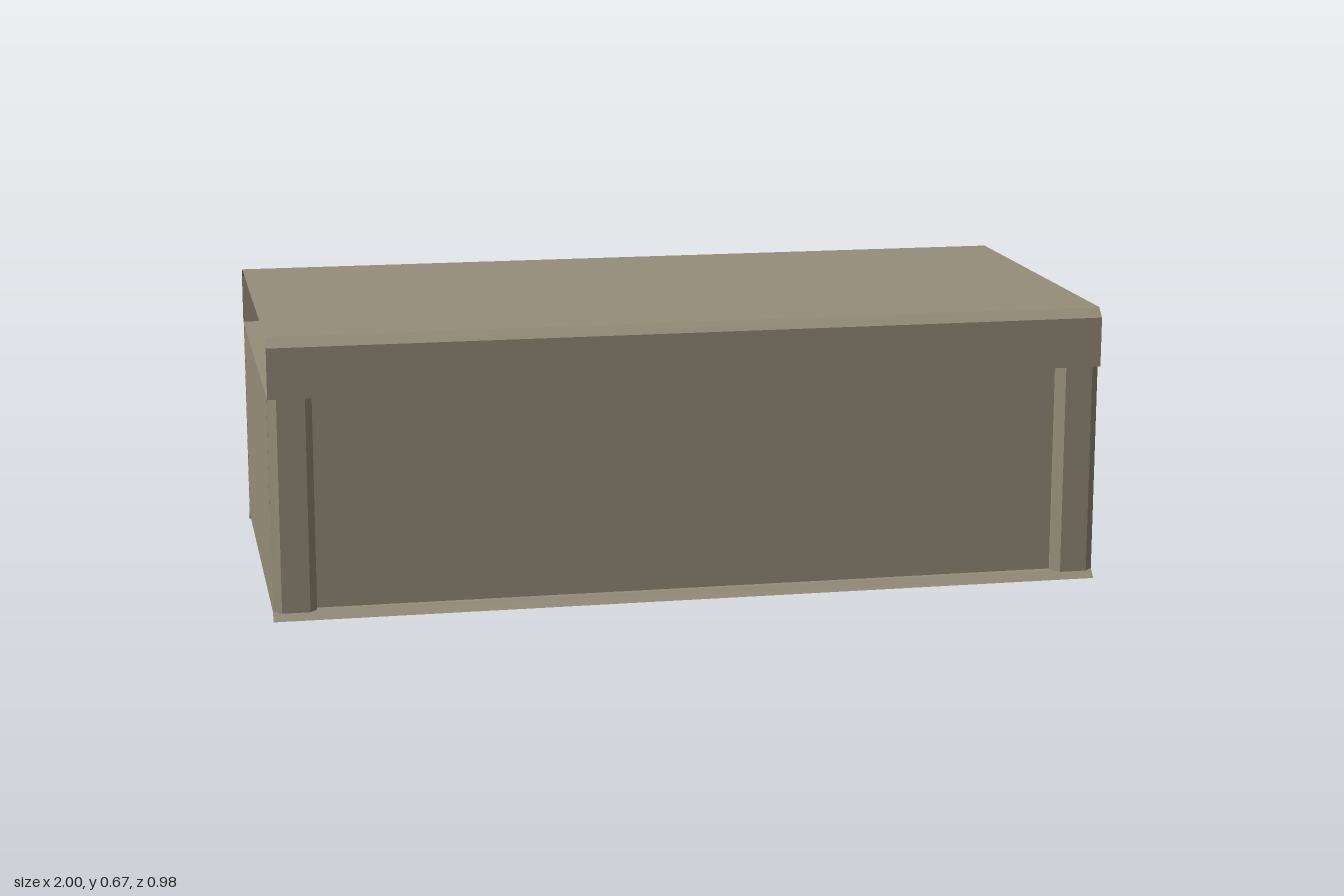
import * as THREE from 'three';

const paint = new THREE.MeshStandardMaterial({ color: 0x968e7a, side: THREE.DoubleSide });
paint.name = 'stone taupe';

// Sheet swept straight between two ends: place(a, b, t) puts a profile point in space.
function sheet(name, profile, t0, t1, place) {
  const pos = [];
  for (let i = 0; i < profile.length - 1; i++) {
    const [a, b] = profile[i];
    const [c, d] = profile[i + 1];
    const p = place(a, b, t0), q = place(c, d, t0);
    const r = place(c, d, t1), s = place(a, b, t1);
    pos.push(...p, ...q, ...r, ...p, ...r, ...s);
  }
  const geo = new THREE.BufferGeometry();
  geo.setAttribute('position', new THREE.Float32BufferAttribute(pos, 3));
  geo.computeVertexNormals();
  const mesh = new THREE.Mesh(geo, paint);
  mesh.name = name;
  return mesh;
}

const alongX = (z, y, x) => [x, y, z];
const alongY = (x, z, y) => [x, y, z];

export function createModel() {
  const group = new THREE.Group();
  group.name = 'block';
  const floorY = 0.02, deckY = 0.53, wallZ = 0.453;

  // Open-ended cap: chamfered roof and fascias, closed below by the deck
  group.add(sheet('cap', [
    [0.488, deckY], [0.488, 0.65], [0.465, 0.672], [-0.465, 0.672],
    [-0.488, 0.65], [-0.488, deckY], [0.488, deckY],
  ], -1, 1, alongX));

  // Floor with flared lips along both long sides
  group.add(sheet('floor', [
    [0.488, 0], [0.468, floorY], [-0.468, floorY], [-0.488, 0],
  ], 1, -1, alongX));

  for (const s of [1, -1]) {
    // Recessed long panels and end walls
    group.add(sheet(s > 0 ? 'frontPanel' : 'backPanel',
      [[-0.897 * s, wallZ * s], [0.897 * s, wallZ * s]], deckY, floorY, alongY));
    group.add(sheet(s > 0 ? 'leftEnd' : 'rightEnd',
      [[s, 0.45 * s], [s, -0.45 * s]], deckY, floorY, alongY));

    // Chamfered corner posts
    for (const e of [1, -1]) {
      group.add(sheet('cornerPost', [
        [0.897, 0.455], [0.897, 0.468], [0.914, 0.488],
        [0.98, 0.488], [1, 0.468], [1, 0.455],
      ].map(([x, z]) => [x * e, z * s]),
      e * s > 0 ? deckY : floorY, e * s > 0 ? floorY : deckY, alongY));
    }
  }
  return group;
}
